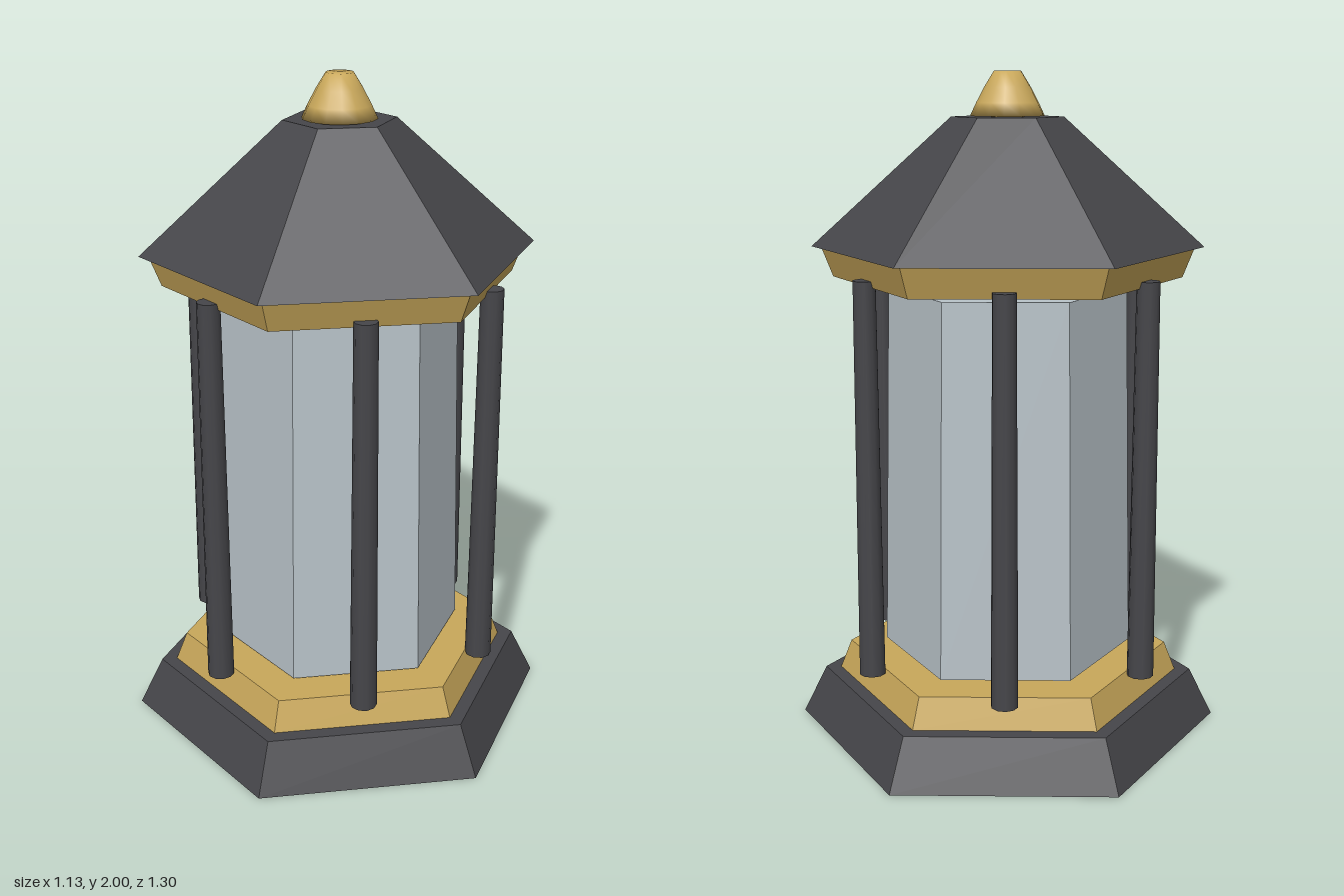
import * as THREE from 'three';

const mat = (name, color, flat) => {
  const m = new THREE.MeshStandardMaterial({ color, flatShading: flat });
  m.name = name;
  return m;
};

export function createModel() {
  const iron = mat('dark iron', 0x46464a, false);
  const brass = mat('brass', 0xc8a75a, false);
  const glass = mat('pale glass', 0xb9c3c9, false);
  const group = new THREE.Group();
  group.name = 'lantern';

  const add = (name, geometry, material) => {
    const mesh = new THREE.Mesh(geometry, material);
    mesh.name = name;
    group.add(mesh);
    return mesh;
  };

  // Tapered six-sided block with crisp faces, corners on +z and -z
  const hex = (name, y0, y1, rBottom, rTop, material) => {
    const g = new THREE.CylinderGeometry(rTop, rBottom, y1 - y0, 6).toNonIndexed();
    g.computeVertexNormals();
    g.translate(0, (y0 + y1) / 2, 0);
    return add(name, g, material);
  };

  hex('base', 0, 0.15, 0.65, 0.577, iron);
  hex('lowerCollar', 0.15, 0.24, 0.53, 0.495, brass);
  hex('glassBody', 0.25, 1.37, 0.382, 0.357, glass);
  hex('upperCollar', 1.4, 1.49, 0.522, 0.557, brass);
  hex('roof', 1.49, 1.87, 0.585, 0.165, iron);

  // Posts in front of the middle of each glass pane
  for (let i = 0; i < 6; i++) {
    const a = (i * Math.PI) / 3;
    const post = add('post', new THREE.CylinderGeometry(0.034, 0.04, 1.19, 10), iron);
    post.position.set(Math.cos(a) * 0.465, 0.825, Math.sin(a) * 0.465);
  }

  // Rounded finial
  const profile = [[0, 1.868], [0.11, 1.872], [0.092, 1.91], [0.068, 1.955], [0.04, 2], [0, 2]]
    .map(([r, y]) => new THREE.Vector2(r, y));
  add('finial', new THREE.LatheGeometry(profile, 14), brass);

  return group;
}
